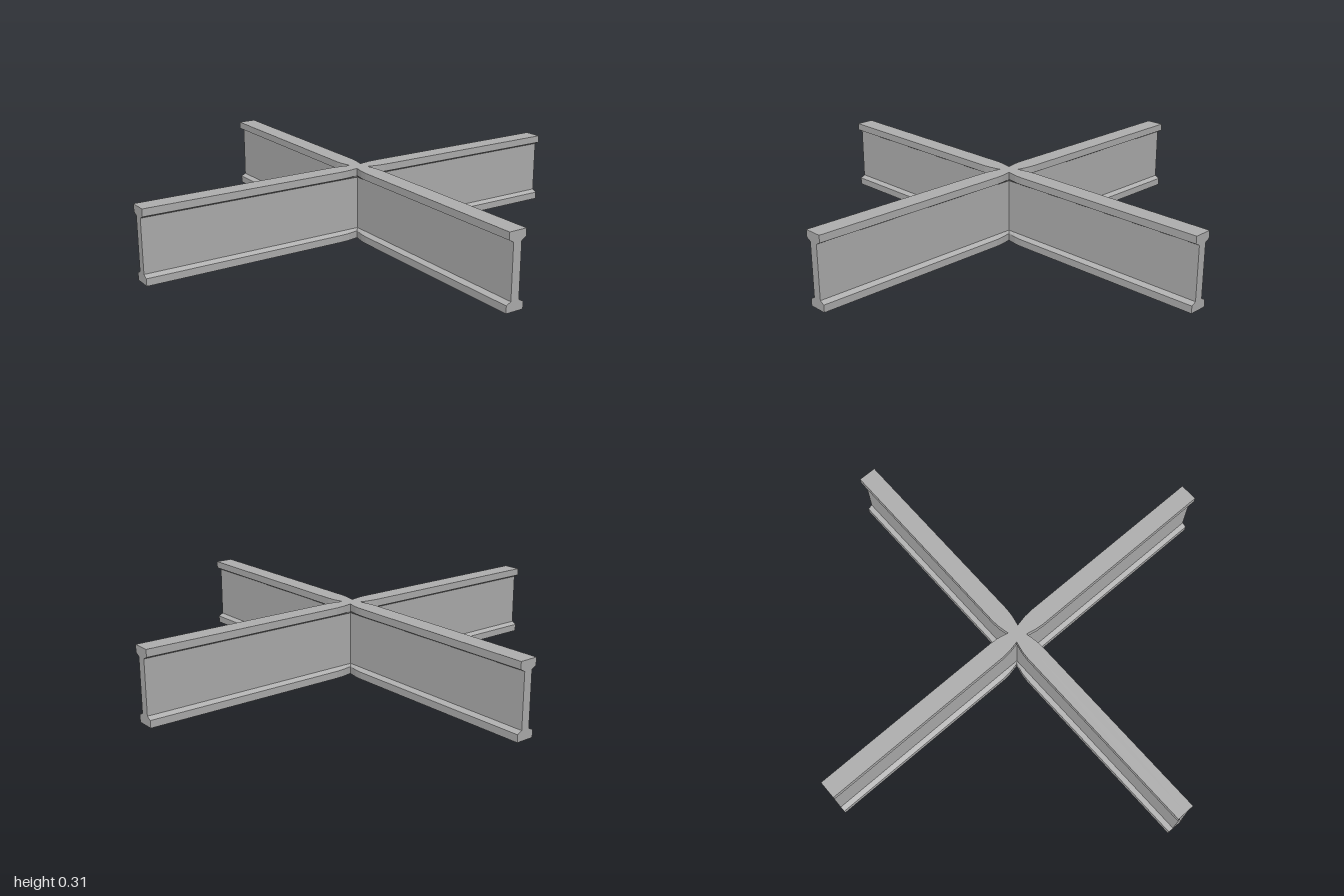
import * as THREE from 'three';

const WEB = 0.019;

// I-shaped section, counter-clockwise when seen from the beam's outer end
function section(w) {
  const half = [
    [w, 0], [w, 0.031], [WEB, 0.042], [WEB, 0.268], [w, 0.279], [w, 0.31],
  ];
  const mirrored = half.map(([u, y]) => [-u, y]).reverse();
  return [[0, 0], ...half, [0, 0.31], ...mirrored];
}

// One arm along +x: mitred at the crossing, flanges narrowing towards it
function armGeometry() {
  const stations = [[0, 0.027], [0.05, 0.032], [0.075, 0.037], [0.11, 0.04], [1, 0.04]];
  const rings = stations.map(([d, w], i) =>
    section(w).map(([u, y]) => new THREE.Vector3(i === 0 ? Math.abs(u) : d, y, -u)));
  const pos = [];
  const tri = (...pts) => pts.forEach((p) => pos.push(p.x, p.y, p.z));

  for (let i = 0; i < rings.length - 1; i++) {
    const n = rings[i].length;
    for (let j = 0; j < n; j++) {
      const k = (j + 1) % n;
      tri(rings[i][j], rings[i][k], rings[i + 1][k]);
      tri(rings[i][j], rings[i + 1][k], rings[i + 1][j]);
    }
  }

  // Outer end face
  const end = rings[rings.length - 1];
  const outline = end.map((p) => new THREE.Vector2(-p.z, p.y));
  for (const [a, b, c] of THREE.ShapeUtils.triangulateShape(outline, [])) {
    tri(end[a], end[b], end[c]);
  }

  const geo = new THREE.BufferGeometry();
  geo.setAttribute('position', new THREE.Float32BufferAttribute(pos, 3));
  geo.computeVertexNormals();
  return geo;
}

export function createModel() {
  const group = new THREE.Group();
  group.name = 'crossedBeams';
  const steel = new THREE.MeshStandardMaterial({ color: 0xb0b0b0 });
  steel.name = 'steel grey';

  const geo = armGeometry();
  ['leftArm', 'backArm', 'rightArm', 'frontArm'].forEach((name, i) => {
    const arm = new THREE.Mesh(geo, steel);
    arm.name = name;
    arm.rotation.y = (i * Math.PI) / 2;
    group.add(arm);
  });
  return group;
}
